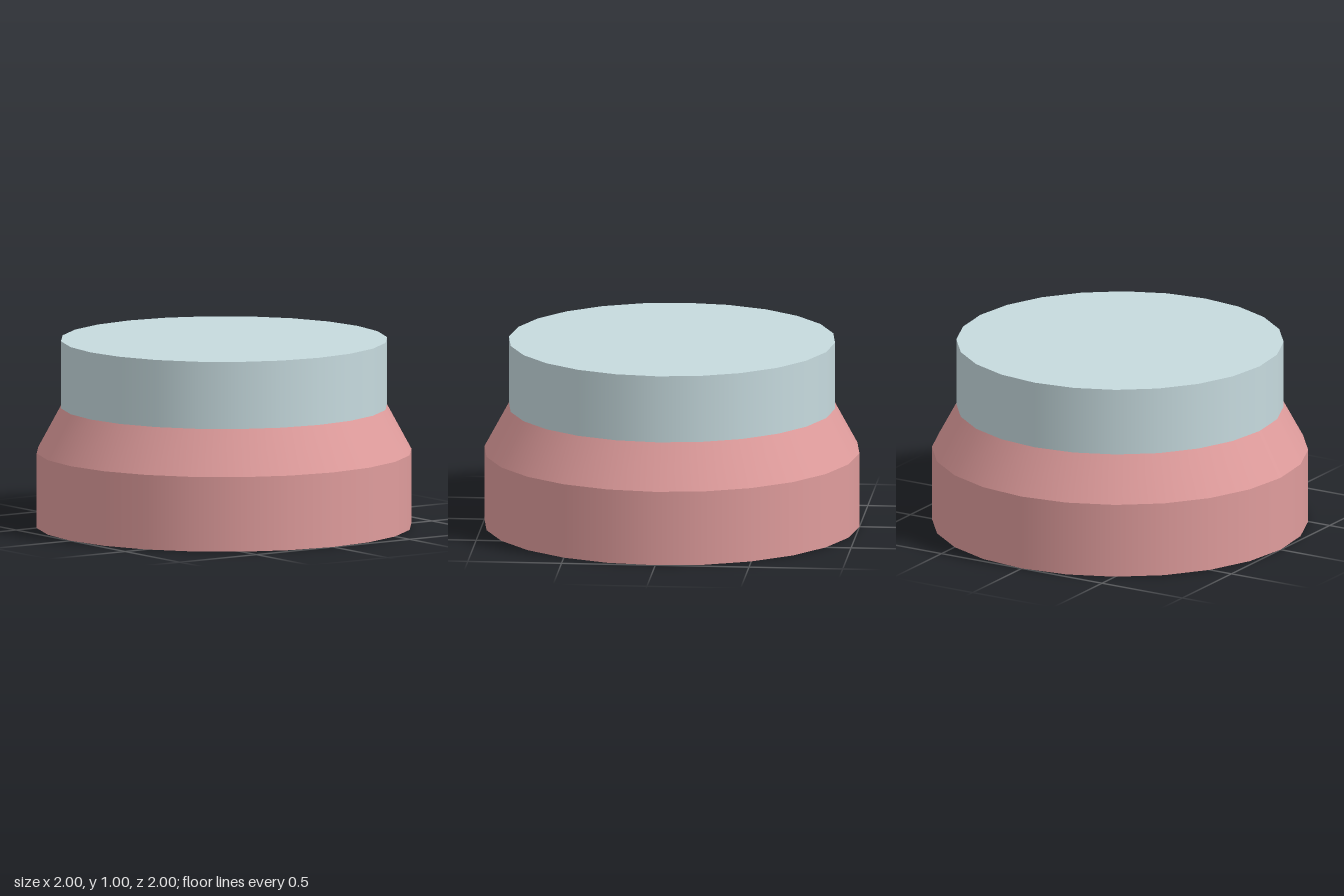
import * as THREE from 'three';

const SIDES = 24;
const BASE_R = 1, TOP_R = 0.87;

// Flat disc facing up or down, with a corner on each axis
function disc(radius, y, up) {
  const g = new THREE.CircleGeometry(radius, SIDES);
  g.rotateX(up ? -Math.PI / 2 : Math.PI / 2);
  g.translate(0, y, 0);
  return g;
}

// Open smooth ring wall between two heights
function wall(rBottom, rTop, y0, y1) {
  const g = new THREE.CylinderGeometry(rTop, rBottom, y1 - y0, SIDES, 1, true);
  g.translate(0, (y0 + y1) / 2, 0);
  return g;
}

export function createModel() {
  const model = new THREE.Group();
  const pink = new THREE.MeshStandardMaterial({ color: 0xdf9c9c });
  const paleBlue = new THREE.MeshStandardMaterial({ color: 0xc6dade });

  const add = (parent, name, geometry, material) => {
    const mesh = new THREE.Mesh(geometry, material);
    mesh.name = name;
    parent.add(mesh);
  };

  // Wide base with a sloping shoulder
  const base = new THREE.Group();
  base.name = 'base';
  add(base, 'baseWall', wall(BASE_R, BASE_R, 0, 0.4), pink);
  add(base, 'baseShoulder', wall(BASE_R, TOP_R, 0.4, 0.64), pink);
  add(base, 'baseBottom', disc(BASE_R, 0, false), pink);

  // Narrower upper drum
  const drum = new THREE.Group();
  drum.name = 'drum';
  add(drum, 'drumWall', wall(TOP_R, TOP_R, 0.64, 1), paleBlue);
  add(drum, 'drumTop', disc(TOP_R, 1, true), paleBlue);

  model.add(base, drum);
  return model;
}
